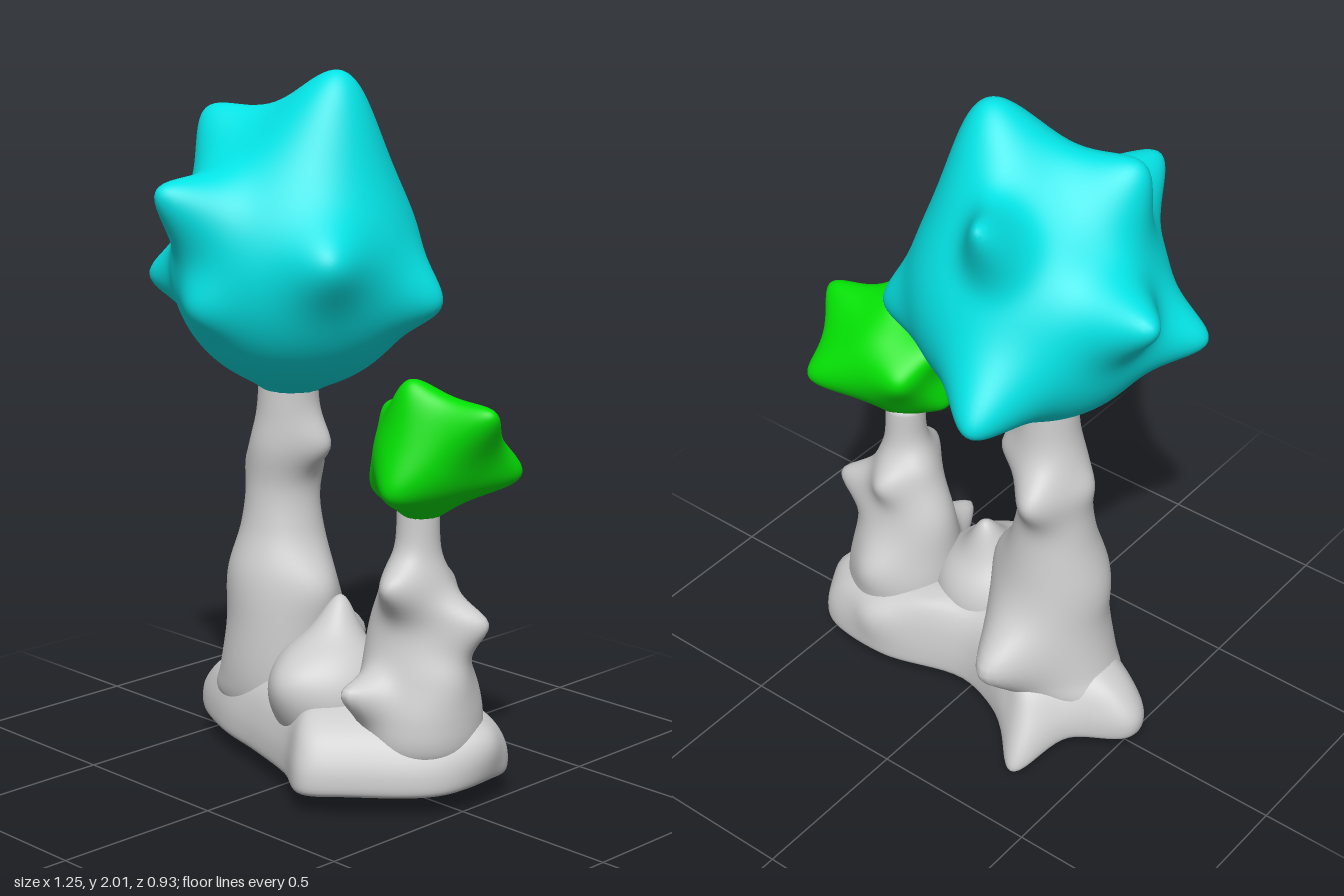
import * as THREE from 'three';
import { mergeVertices } from 'three/addons/utils/BufferGeometryUtils.js';

const V = (x, y, z) => new THREE.Vector3(x, y, z);

// Sculpt: draw the nearest patch of surface out to each tip [x, y, z, width]
function pull(geo, tips) {
  const pos = geo.attributes.position;
  const start = Array.from({ length: pos.count }, (_, i) => V().fromBufferAttribute(pos, i));
  const moved = start.map((p) => p.clone());
  for (const [x, y, z, w] of tips) {
    const tip = V(x, y, z);
    let near = start[0];
    for (const p of start) if (p.distanceToSquared(tip) < near.distanceToSquared(tip)) near = p;
    const shift = tip.clone().sub(near);
    start.forEach((p, i) => moved[i].addScaledVector(shift, Math.exp(-p.distanceToSquared(near) / (w * w))));
  }
  moved.forEach((p, i) => pos.setXYZ(i, p.x, p.y, p.z));
  return geo;
}

// Closed skin over rings of points listed from bottom to top
function loft(rings) {
  const n = rings[0].length;
  const pts = rings.flat();
  const index = [];
  for (let i = 0; i < rings.length - 1; i++) {
    for (let j = 0; j < n; j++) {
      const a = i * n + j, b = i * n + (j + 1) % n;
      index.push(a, a + n, b, b, a + n, b + n);
    }
  }
  const centre = (ring) => ring.reduce((s, p) => s.add(p), V(0, 0, 0)).divideScalar(n);
  const low = pts.length, high = low + 1, top = (rings.length - 1) * n;
  pts.push(centre(rings[0]), centre(rings[rings.length - 1]));
  for (let j = 0; j < n; j++) {
    const k = (j + 1) % n;
    index.push(low, j, k, high, top + k, top + j);
  }
  const geo = new THREE.BufferGeometry().setFromPoints(pts);
  geo.setIndex(index);
  return geo;
}

// Stalk from rows of [y, centre x, centre z, radius x, radius z]
function stalk(rows, bumps) {
  const spine = new THREE.CatmullRomCurve3(rows.map((r) => V(r[1], r[0], r[2])));
  const size = new THREE.CatmullRomCurve3(rows.map((r) => V(r[3], r[0], r[4])));
  const rings = [];
  for (let i = 0; i <= 60; i++) {
    const c = spine.getPoint(i / 60), s = size.getPoint(i / 60);
    rings.push(Array.from({ length: 56 }, (_, j) => {
      const a = (j / 56) * Math.PI * 2;
      return V(c.x + s.x * Math.cos(a), c.y, c.z + s.z * Math.sin(a));
    }));
  }
  return pull(loft(rings), bumps);
}

// Ball drawn out into spikes, cut flat where it sits on its stalk
function spikyBall([x, y, z], r, spikes, floor) {
  let geo = new THREE.IcosahedronGeometry(r, 28);
  geo.deleteAttribute('uv');
  geo.deleteAttribute('normal');
  geo = mergeVertices(geo, 1e-5).translate(x, y, z);
  pull(geo, spikes);
  const pos = geo.attributes.position;
  for (let i = 0; i < pos.count; i++) pos.setY(i, Math.max(pos.getY(i), floor));
  return geo;
}

export function createModel() {
  const group = new THREE.Group();
  const add = (name, geo, color = 0xcccccc) => {
    geo.computeVertexNormals();
    const mesh = new THREE.Mesh(geo, new THREE.MeshStandardMaterial({ color }));
    mesh.name = name;
    group.add(mesh);
  };

  // Irregular base slab with sloping shoulders and a foot that dips at the back
  const outline = new THREE.CatmullRomCurve3([
    [0.51, -0.1], [0.5, 0.08], [0.32, 0.27], [0.21, 0.35], [0.06, 0.27], [-0.15, 0.2], [-0.36, 0.14],
    [-0.53, 0.04], [-0.54, -0.05], [-0.41, -0.15], [-0.32, -0.24], [-0.22, -0.22], [0, -0.15],
    [0.28, -0.22], [0.49, -0.19],
  ].map(([x, z]) => V(x, 0, z)), true).getPoints(120).slice(0, 120);
  const shoulder = new THREE.CatmullRomCurve3([
    [0.5, 0.05], [0.95, 0.05], [0.995, 0.07], [0.99, 0.12], [0.93, 0.18], [0.84, 0.225], [0.68, 0.265],
    [0.4, 0.29], [0.15, 0.3],
  ].map(([s, y]) => V(s, y, 0)));
  const slab = loft(shoulder.getPoints(40).map((p) => outline.map((o) => V(o.x * p.x, p.y, o.z * p.x))));
  add('base', pull(slab, [
    [-0.32, 0.0, -0.32, 0.08], [-0.56, 0.12, -0.02, 0.08], [0.535, 0.2, -0.07, 0.1], [0.3, 0.19, -0.23, 0.07],
  ]));

  // Tall stalk, flaring into the base
  add('tallStalk', stalk([
    [0.08, -0.25, -0.01, 0.12, 0.1],
    [0.16, -0.25, -0.01, 0.21, 0.16],
    [0.24, -0.235, -0.01, 0.195, 0.175],
    [0.4, -0.22, -0.01, 0.175, 0.17],
    [0.55, -0.23, 0, 0.155, 0.15],
    [0.68, -0.235, -0.01, 0.12, 0.12],
    [0.8, -0.235, -0.01, 0.1, 0.105],
    [0.92, -0.215, 0, 0.1, 0.1],
    [1.02, -0.2, 0, 0.09, 0.09],
    [1.12, -0.195, 0, 0.085, 0.085],
  ], [
    [-0.07, 0.93, -0.04, 0.07], [-0.26, 0.86, -0.18, 0.08], [-0.345, 0.86, 0.02, 0.06],
    [-0.03, 0.52, 0, 0.09], [-0.2, 0.3, -0.31, 0.1], [-0.4, 0.48, 0.02, 0.1],
  ]));

  // Short stalk, flaring into the base
  add('shortStalk', stalk([
    [0.08, 0.34, 0, 0.1, 0.1],
    [0.17, 0.335, 0, 0.17, 0.17],
    [0.26, 0.33, 0, 0.18, 0.17],
    [0.37, 0.32, 0, 0.165, 0.14],
    [0.5, 0.31, 0, 0.14, 0.105],
    [0.63, 0.33, 0.01, 0.1, 0.085],
    [0.72, 0.34, 0.02, 0.065, 0.065],
    [0.84, 0.34, 0.02, 0.058, 0.058],
  ], [
    [0.54, 0.53, -0.05, 0.07], [0.36, 0.63, 0.17, 0.07], [0.28, 0.34, 0.255, 0.06],
    [0.33, 0.61, -0.125, 0.06], [0.33, 0.33, -0.19, 0.09], [0.24, 0.66, -0.02, 0.06], [0.5, 0.38, 0.03, 0.08],
  ]));

  // Mound between the stalks, with a knob on top
  add('mound', spikyBall([0.06, 0.26, 0.08], 0.175, [[0.05, 0.53, 0.03, 0.06], [0.06, 0.32, 0.28, 0.1]], 0.1));

  // Large crown
  add('largeCrown', spikyBall([-0.15, 1.455, 0.01], 0.355, [
    [0, 2.0, -0.02, 0.165], [-0.4, 1.875, 0.12, 0.105], [-0.625, 1.6, -0.13, 0.095],
    [-0.595, 1.39, 0.17, 0.09], [-0.22, 1.69, 0.46, 0.1], [-0.16, 1.36, 0.395, 0.09],
    [0.225, 1.51, 0.23, 0.11], [0.235, 1.36, -0.18, 0.095], [-0.29, 1.31, -0.465, 0.115],
    [-0.23, 1.84, -0.35, 0.07], [-0.195, 1.04, 0, 0.08],
  ], 1.09), 0x04e2e4);

  // Small crown
  add('smallCrown', spikyBall([0.38, 1.0, 0.02], 0.15, [
    [0.39, 1.21, 0.11, 0.075], [0.62, 1.14, 0.03, 0.07], [0.56, 0.94, -0.155, 0.085],
    [0.2, 1.1, 0.0, 0.06], [0.2, 0.88, 0.05, 0.07], [0.4, 0.9, 0.2, 0.08],
    [0.24, 1.02, -0.12, 0.07], [0.35, 0.8, 0.02, 0.075],
  ], 0.82), 0x04e004);

  return group;
}
